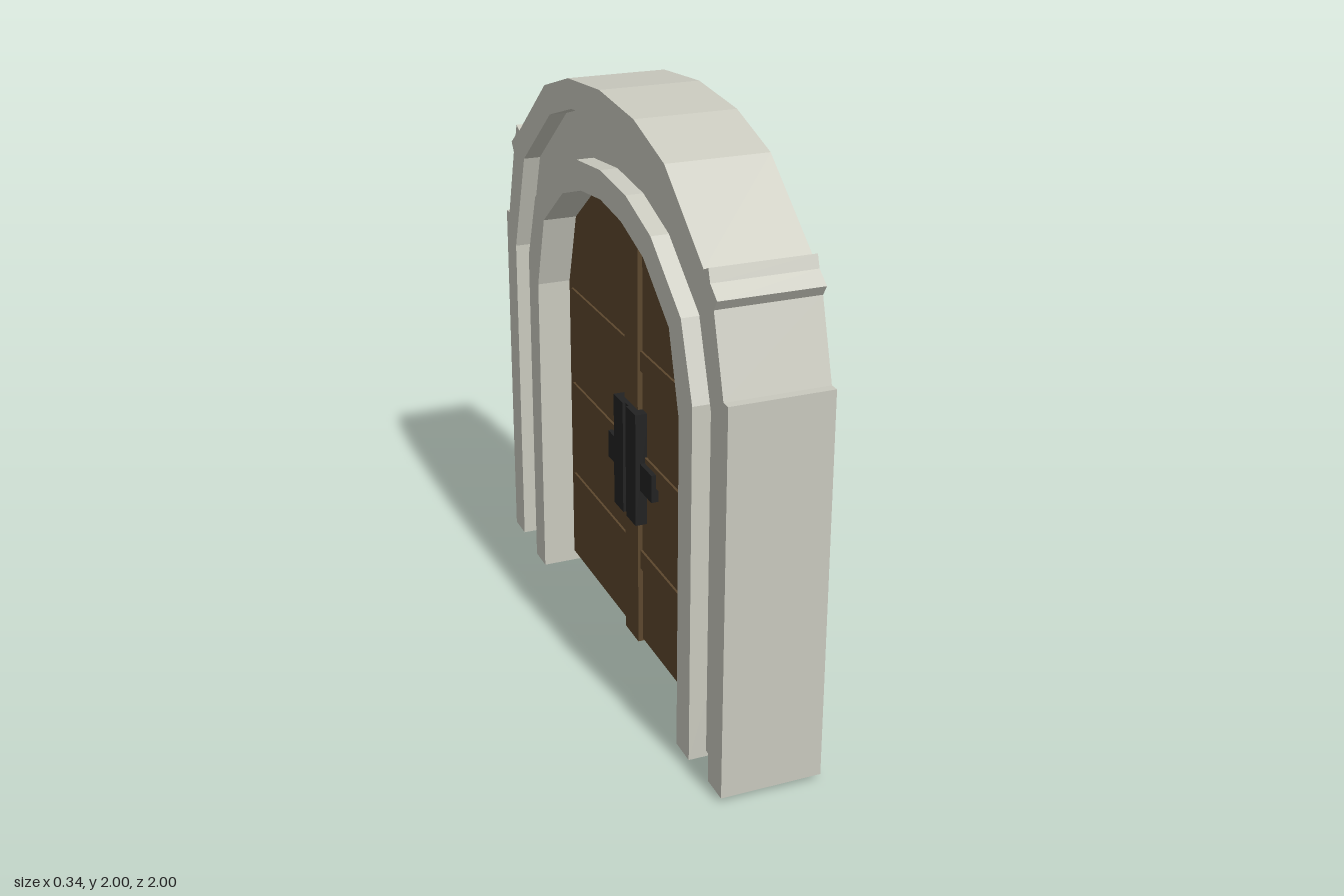
import * as THREE from 'three';

const stone = new THREE.MeshStandardMaterial({ color: 0xc9c9be, flatShading: true });
const wood = new THREE.MeshStandardMaterial({ color: 0x5c472d, flatShading: true });
const iron = new THREE.MeshStandardMaterial({ color: 0x222222, flatShading: true });

// Half profiles [z, y], from the foot up to the crown of the arch
const outerEdge = [
  [1, 0.02], [1, 1.325], [0.968, 1.325], [0.893, 1.575], [0.915, 1.608], [0.866, 1.645],
  [0.852, 1.686], [0.82, 1.672], [0.53, 1.9], [0.29, 1.975], [0, 2],
];
const recessOuter = [[0.9, 0.02], [0.9, 1.215], [0.775, 1.58], [0.48, 1.81], [0.26, 1.88], [0, 1.9]];
const recessInner = [[0.75, 0.02], [0.75, 1.225], [0.66, 1.47], [0.425, 1.65], [0.22, 1.72], [0, 1.742]];
const opening = [[0.65, 0.02], [0.65, 1.145], [0.57, 1.41], [0.365, 1.565], [0.18, 1.625], [0, 1.645]];

// Mirrors a half profile across the centre, optionally moving its foot
function fullArch(half, foot = half[0][1]) {
  const pts = half.map(([z, y], i) => new THREE.Vector2(z, i === 0 ? foot : y));
  const mirrored = pts.slice(0, -1).reverse().map((p) => new THREE.Vector2(-p.x, p.y));
  return [...pts, ...mirrored];
}

// Extrudes an outline in the z-y plane through the thickness, centred on x = 0
function slab(name, points, thickness, material) {
  const geometry = new THREE.ExtrudeGeometry(new THREE.Shape(points), {
    depth: thickness, bevelEnabled: false,
  });
  geometry.translate(0, 0, -thickness / 2);
  geometry.rotateY(Math.PI / 2);
  const mesh = new THREE.Mesh(geometry, material);
  mesh.name = name;
  return mesh;
}

function band(name, outer, inner, foot, thickness) {
  const points = [...fullArch(outer, foot), ...fullArch(inner, foot).reverse()];
  return slab(name, points, thickness, stone);
}

// Box given by its limits on each axis
function block(name, [x0, x1], [y0, y1], [z0, z1], material) {
  const mesh = new THREE.Mesh(new THREE.BoxGeometry(x1 - x0, y1 - y0, z1 - z0), material);
  mesh.position.set((x0 + x1) / 2, (y0 + y1) / 2, (z0 + z1) / 2);
  mesh.name = name;
  return mesh;
}

export function createModel() {
  const model = new THREE.Group();
  model.name = 'archedGate';

  // Stone surround: two raised bands with a recessed one between
  const surround = new THREE.Group();
  surround.name = 'stoneSurround';
  surround.add(
    band('outerArch', outerEdge, recessOuter, 0.02, 0.34),
    band('recessedArch', recessOuter, recessInner, 0.02, 0.22),
    band('innerArch', recessInner, opening, 0, 0.34),
  );
  model.add(surround);

  // Door leaf, plain on +x and panelled on -x
  const door = new THREE.Group();
  door.name = 'door';
  door.add(slab('doorLeaf', fullArch(opening, 0.04), 0.1, wood));
  door.add(block('centreStrip', [-0.067, -0.04], [0.03, 1.64], [-0.06, 0.06], wood));
  for (const y of [0.355, 0.725, 1.095]) {
    door.add(block('crossRail', [-0.058, -0.04], [y - 0.035, y + 0.035], [-0.61, 0.61], wood));
  }
  model.add(door);

  // Iron lock: a pair of upright plates over a crossbar
  const lock = new THREE.Group();
  lock.name = 'lock';
  lock.add(block('lockBar', [-0.075, -0.045], [0.64, 0.74], [-0.2, 0.2], iron));
  for (const side of [-1, 1]) {
    const span = [side * 0.015, side * 0.1].sort((a, b) => a - b);
    lock.add(block('lockPlate', [-0.092, -0.045], [0.51, 0.92], span, iron));
  }
  lock.add(block('lockSeam', [-0.082, -0.045], [0.51, 0.92], [-0.015, 0.015], iron));
  model.add(lock);

  return model;
}
